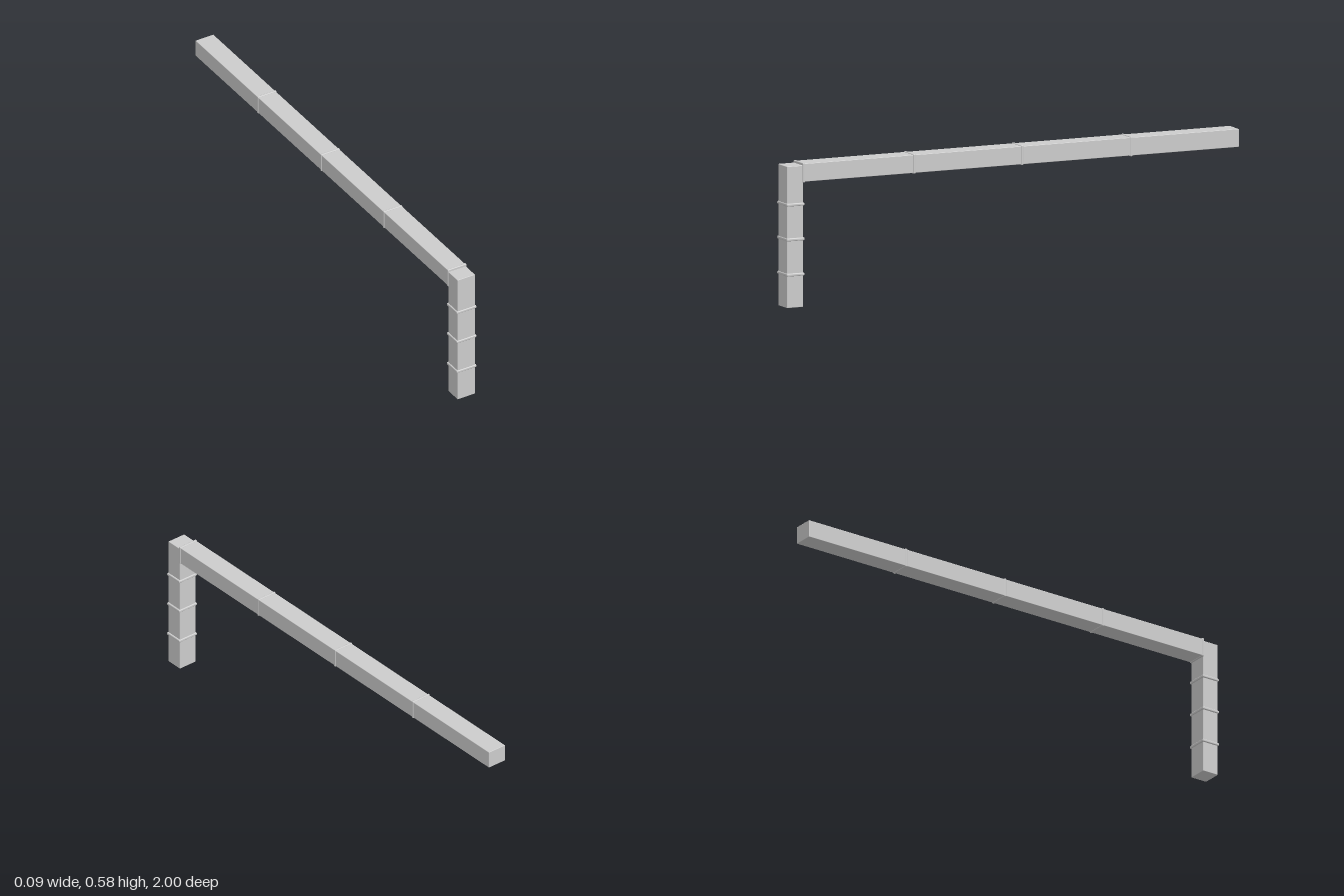
import * as THREE from 'three';
import { RoundedBoxGeometry } from 'three/addons/geometries/RoundedBoxGeometry.js';

const material = new THREE.MeshStandardMaterial({ color: 0xcccccc });

// Box given by its lower and upper limits on each axis
function block(name, [x0, x1], [y0, y1], [z0, z1], radius) {
  const w = x1 - x0, h = y1 - y0, d = z1 - z0;
  const mesh = new THREE.Mesh(new RoundedBoxGeometry(w, h, d, 2, radius), material);
  mesh.position.set((x0 + x1) / 2, (y0 + y1) / 2, (z0 + z1) / 2);
  mesh.name = name;
  return mesh;
}

export function createModel() {
  const model = new THREE.Group();
  model.name = 'elbowDuct';

  // Upright pipe with its raised joint bands
  const upright = new THREE.Group();
  upright.name = 'uprightPipe';
  upright.add(block('uprightShaft', [-0.041, 0.04], [0, 0.57], [0.925, 0.997], 0.002));
  for (const y of [0.133, 0.275, 0.415]) {
    upright.add(block('uprightBand', [-0.046, 0.046], [y - 0.006, y + 0.006], [0.921, 1], 0.004));
  }
  model.add(upright);

  // Long horizontal pipe running back, with slim joint bands
  const run = new THREE.Group();
  run.name = 'horizontalPipe';
  run.add(block('horizontalShaft', [-0.042, 0.041], [0.504, 0.577], [-1, 0.926], 0.002));
  for (const z of [0.435, -0.042, -0.525]) {
    run.add(block('horizontalBand', [-0.044, 0.043], [0.501, 0.58], [z - 0.005, z + 0.005], 0.003));
  }
  // Collar where the horizontal pipe meets the upright
  run.add(block('elbowCollar', [-0.044, 0.043], [0.501, 0.58], [0.918, 0.928], 0.003));
  model.add(run);

  return model;
}
